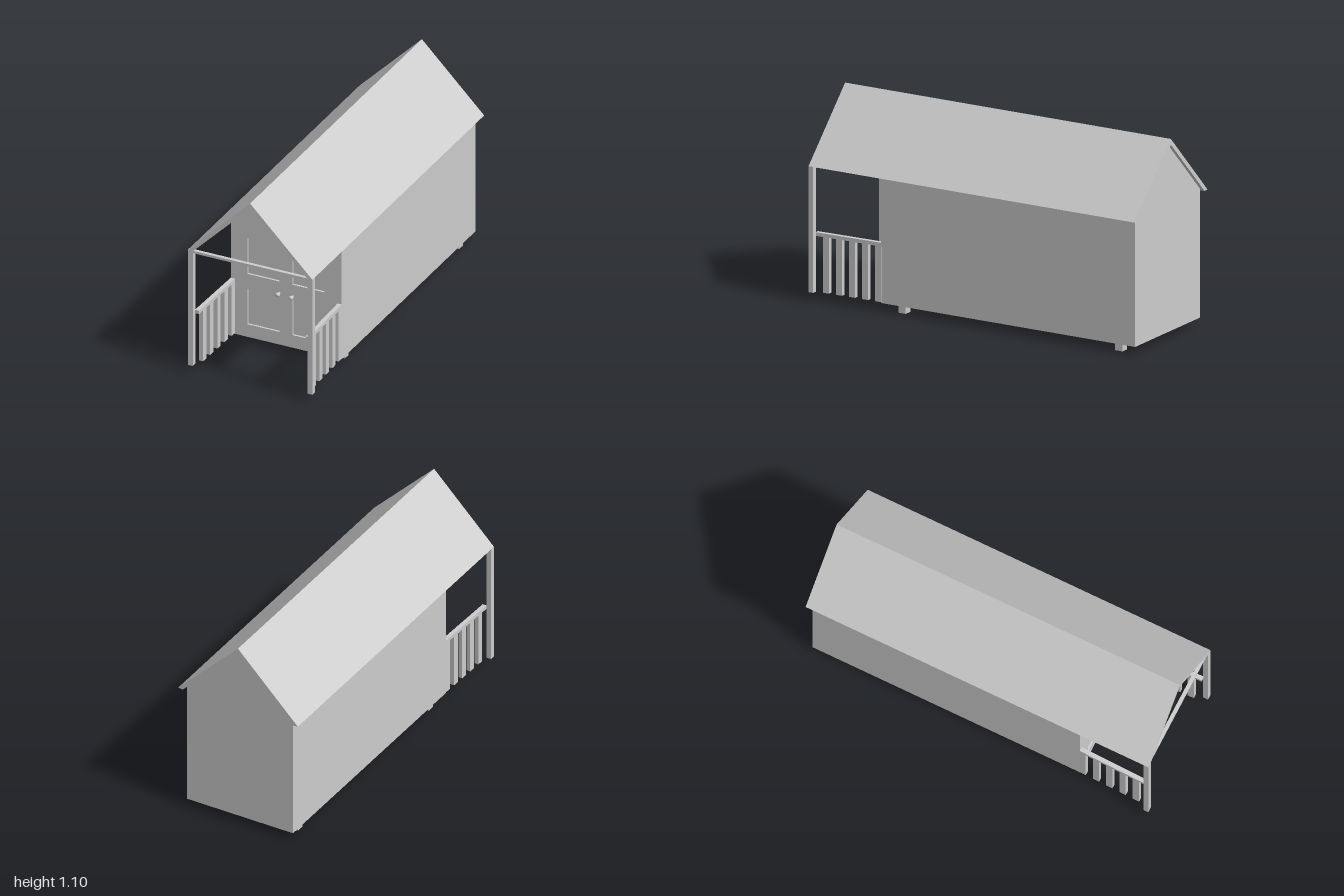
import * as THREE from 'three';

const grey = new THREE.MeshStandardMaterial({ color: 0xcccccc });
grey.name = 'light grey';

export function createModel() {
  const house = new THREE.Group();
  house.name = 'playhouse';

  const add = (name, geometry, x = 0, y = 0, z = 0) => {
    const mesh = new THREE.Mesh(geometry, grey);
    mesh.name = name;
    mesh.position.set(x, y, z);
    house.add(mesh);
    return mesh;
  };
  // Box given by its limits on each axis
  const box = (name, x0, x1, y0, y1, z0, z1) =>
    add(name, new THREE.BoxGeometry(x1 - x0, y1 - y0, z1 - z0),
      (x0 + x1) / 2, (y0 + y1) / 2, (z0 + z1) / 2);
  const shapeOf = (pts) => new THREE.Shape(pts.map(([x, y]) => new THREE.Vector2(x, y)));
  const extrude = (name, shape, z0, z1) =>
    add(name, new THREE.ExtrudeGeometry(shape, { depth: z1 - z0, bevelEnabled: false }), 0, 0, z0);

  // Cabin with gabled ends
  const gable = [[-0.323, 0.045], [0.323, 0.045], [0.323, 0.745], [0, 1.068], [-0.323, 0.745]];
  extrude('cabin', shapeOf(gable), -0.98, 0.568);

  // Front wall with four recessed door panels
  const front = shapeOf(gable);
  for (const x of [-0.225, 0.038]) {
    for (const [y0, y1] of [[0.12, 0.33], [0.42, 0.632]]) {
      const x1 = x + 0.187;
      front.holes.push(new THREE.Path([[x, y0], [x, y1], [x1, y1], [x1, y0]]
        .map(([a, b]) => new THREE.Vector2(a, b))));
    }
  }
  extrude('frontDoors', front, 0.568, 0.58);

  // Roof, reaching out over the porch
  extrude('roof', shapeOf([[0, 1.1], [-0.364, 0.735], [-0.335, 0.733],
    [0, 1.068], [0.335, 0.733], [0.364, 0.735]]), -1, 1);

  // Beam between the porch posts
  box('porchBeam', -0.336, 0.336, 0.719, 0.733, 0.975, 0.995);

  for (const side of [-1, 1]) {
    // Porch post
    const post = box('porchPost', -0.0145, 0.0145, 0.05, 0.736, 0.971, 1);
    post.position.x = side * 0.3495;

    // Railing that leans slightly inward towards the wall
    const railX = (z) => side * (0.312 + 0.011 * (z - 0.58) / 0.39);
    const angle = side * Math.atan(0.011 / 0.39);
    const rail = box('handRail', -0.012, 0.012, 0.353, 0.373, 0.575, 0.975);
    rail.position.x = railX(0.775);
    rail.rotation.y = angle;
    for (let i = 0; i < 5; i++) {
      const z = 0.912 - i * 0.0787;
      const baluster = add('baluster', new THREE.BoxGeometry(0.024, 0.305, 0.037), railX(z), 0.2025, z);
      baluster.rotation.y = angle;
    }

    // Door knob on a short stem
    const stem = add('knobStem', new THREE.CylinderGeometry(0.006, 0.006, 0.02, 16), side * 0.039, 0.352, 0.588);
    stem.rotation.x = Math.PI / 2;
    const knob = add('doorKnob', new THREE.SphereGeometry(0.0135, 24, 16), side * 0.039, 0.352, 0.602);
    knob.scale.set(1, 0.9, 0.8);

    // Feet
    for (const z of [0.467, -0.864]) {
      add('foot', new THREE.BoxGeometry(0.047, 0.047, 0.045), side * 0.274, 0.0235, z);
    }
  }
  return house;
}
